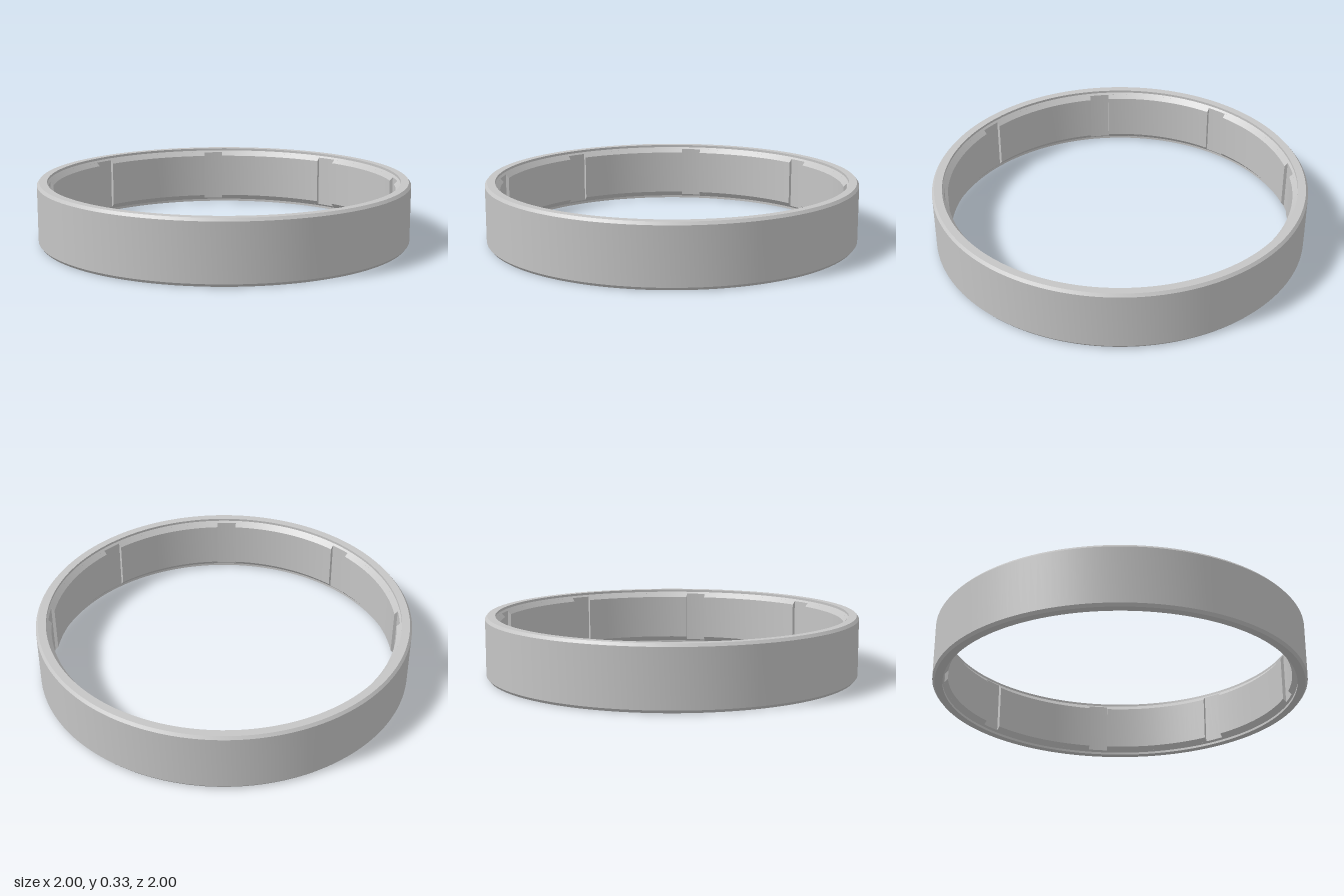
import * as THREE from 'three';
import { mergeGeometries, toCreasedNormals } from 'three/addons/utils/BufferGeometryUtils.js';

const HEIGHT = 0.33;
const PADS = 8;
const FLOOR_R = 0.937;      // radius at the bottom of the grooves
const FLOOR_Y = 0.023;      // height where the groove floor meets the chamfer
const PAD_R = 0.92;         // radius of the inner wall between grooves
const PAD_Y = 0.042;        // height where the inner wall meets the chamfer
const GROOVE_HALF = 0.059;  // half angle of one groove

const points = (list) => list.map(([r, y]) => new THREE.Vector2(r, y));

// Closed section of the outer band: chamfered outside, stepped lips inside
function bandGeometry() {
  const lower = [[FLOOR_R, FLOOR_Y], [0.946, 0.013], [0.946, 0], [0.988, 0], [1, 0.015]];
  const upper = lower.map(([r, y]) => [r, HEIGHT - y]).reverse();
  const section = points([...lower, ...upper, lower[0]]);
  return toCreasedNormals(new THREE.LatheGeometry(section, 160), 0.4);
}

// Raised pad on the inside, chamfered above and below, with flat ends
function padGeometry() {
  const section = points([
    [FLOOR_R, HEIGHT - FLOOR_Y], [PAD_R, HEIGHT - PAD_Y], [PAD_R, PAD_Y], [FLOOR_R, FLOOR_Y],
  ]);
  const start = GROOVE_HALF;
  const length = (Math.PI * 2) / PADS - GROOVE_HALF * 2;
  const wall = new THREE.LatheGeometry(section, 20, start, length);
  const startCap = new THREE.ShapeGeometry(new THREE.Shape(section));
  startCap.rotateY(start - Math.PI / 2);
  const mirrored = section.map((p) => new THREE.Vector2(-p.x, p.y));
  const endCap = new THREE.ShapeGeometry(new THREE.Shape(mirrored));
  endCap.rotateY(start + length + Math.PI / 2);
  const merged = mergeGeometries([wall, startCap, endCap].map((g) => g.toNonIndexed()));
  return toCreasedNormals(merged, 0.4);
}

export function createModel() {
  const group = new THREE.Group();
  group.name = 'groovedRing';
  const lightGrey = new THREE.MeshStandardMaterial({ color: 0xc5c5c5 });
  lightGrey.name = 'lightGrey';

  const band = new THREE.Mesh(bandGeometry(), lightGrey);
  band.name = 'outerBand';
  group.add(band);

  // Pads around the inside leave a groove every 45 degrees
  const pad = padGeometry();
  for (let i = 0; i < PADS; i++) {
    const mesh = new THREE.Mesh(pad, lightGrey);
    mesh.name = `innerPad${i + 1}`;
    mesh.rotation.y = (i * Math.PI * 2) / PADS;
    group.add(mesh);
  }
  return group;
}
